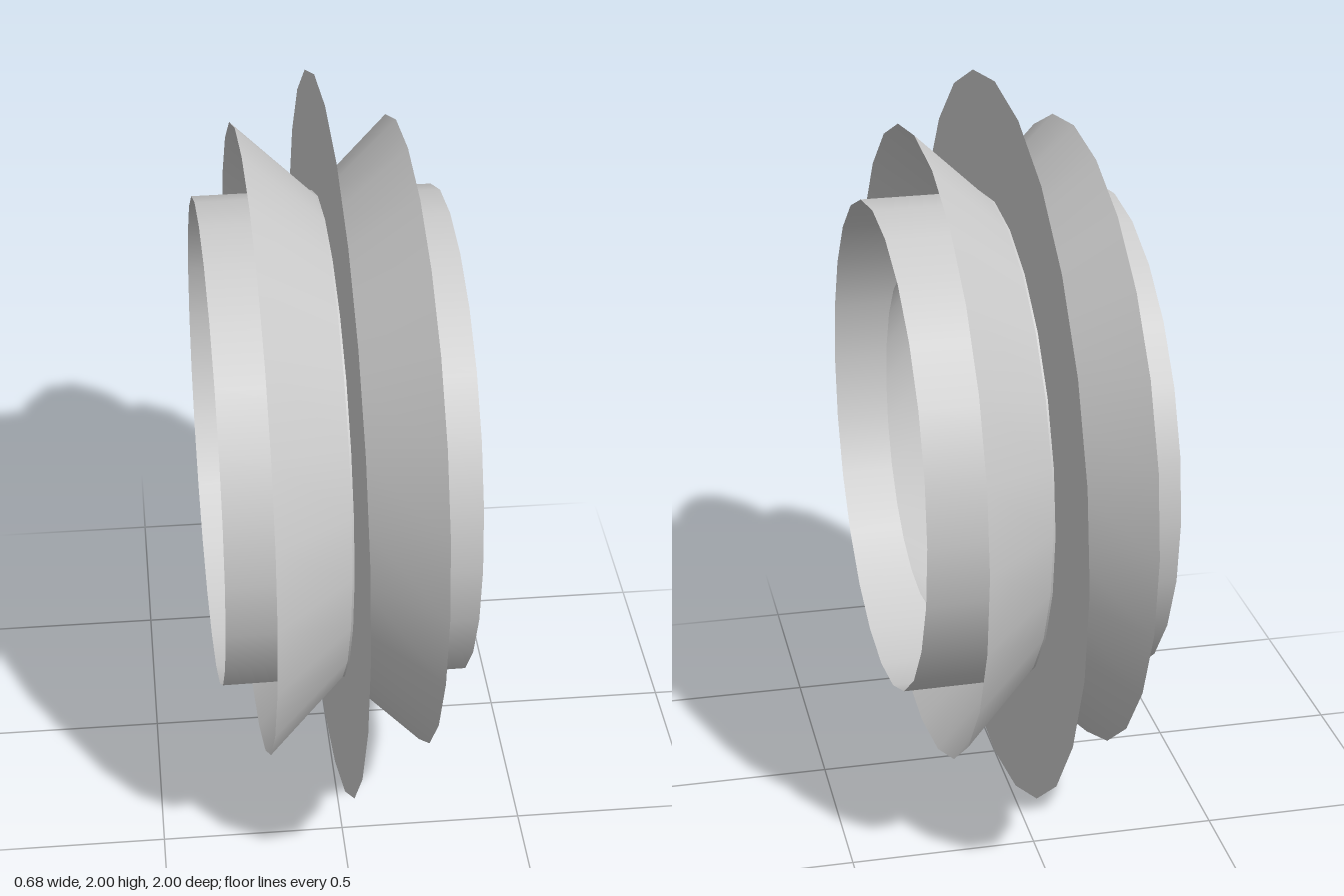
import * as THREE from 'three';

const SIDES = 24;

export function createModel() {
  const model = new THREE.Group();
  model.name = 'ringedHub';

  const grey = new THREE.MeshStandardMaterial({ color: 0xcccccc, side: THREE.DoubleSide });
  grey.name = 'light grey';

  // Built along y, then laid on its side with a slight yaw
  const hub = new THREE.Group();
  hub.name = 'hub';
  hub.rotation.set(0, 0.016, -Math.PI / 2);
  hub.position.y = 1;
  model.add(hub);

  const add = (name, geometry) => {
    const mesh = new THREE.Mesh(geometry, grey);
    mesh.name = name;
    hub.add(mesh);
    return mesh;
  };

  // Open band running from one radius at height y0 to another at y1
  const band = (name, r0, y0, r1, y1) => {
    const geometry = new THREE.CylinderGeometry(r1, r0, y1 - y0, SIDES, 1, true);
    geometry.translate(0, (y0 + y1) / 2, 0);
    return add(name, geometry);
  };

  // Thin central disc with a round hole
  add('centreDisc', new THREE.RingGeometry(0.342, 1, SIDES, 1).rotateX(-Math.PI / 2));

  // Straight tube through the disc
  band('tube', 0.672, -0.33, 0.672, 0.33);

  // Flaring outer cones and narrowing inner cones, one pair per side
  band('outerConeLeft', 0.667, 0, 0.868, 0.215);
  band('outerConeRight', 0.868, -0.215, 0.667, 0);
  band('innerConeLeft', 0.667, 0, 0.464, 0.215);
  band('innerConeRight', 0.464, -0.215, 0.667, 0);

  return model;
}
